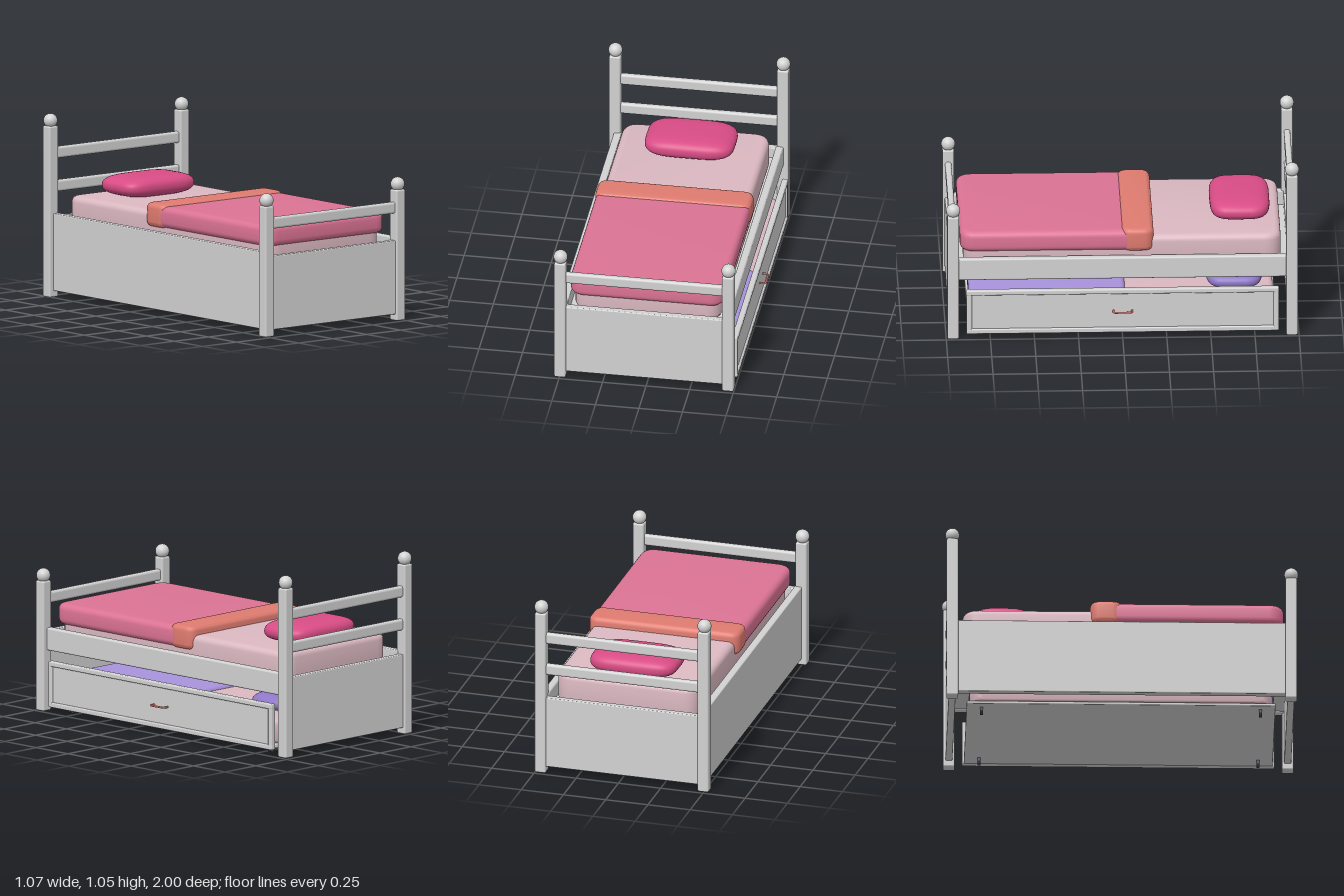
import * as THREE from 'three';
import { toCreasedNormals } from 'three/addons/utils/BufferGeometryUtils.js';
import { RoundedBoxGeometry } from 'three/addons/geometries/RoundedBoxGeometry.js';

const paint = (name, color) => {
  const m = new THREE.MeshStandardMaterial({ color });
  m.name = name;
  return m;
};

export function createModel() {
  const bed = new THREE.Group();
  bed.name = 'trundleBed';
  const wood = paint('paleGreyWood', 0xd2d2d2);
  const sheet = paint('palePink', 0xdcb9c2);
  const rose = paint('rose', 0xdc7395);
  const coral = paint('coral', 0xdf7b70);
  const magenta = paint('magenta', 0xd84c85);
  const lavender = paint('lavender', 0xa993dc);
  const violet = paint('violet', 0x8f78c8);
  const rubber = paint('darkRubber', 0x434956);

  const add = (name, geo, mat, x = 0, y = 0, z = 0) => {
    const mesh = new THREE.Mesh(geo, mat);
    mesh.name = name;
    mesh.position.set(x, y, z);
    bed.add(mesh);
    return mesh;
  };

  // Softly edged board given by its extents
  const board = (name, [x0, x1], [y0, y1], [z0, z1], r = 0.006, mat = wood) =>
    add(name, new RoundedBoxGeometry(x1 - x0, y1 - y0, z1 - z0, 3, r), mat,
      (x0 + x1) / 2, (y0 + y1) / 2, (z0 + z1) / 2);

  // Cushion: rounded rectangle in plan with a thick bevel, given by its extents
  const cushion = (name, [x0, x1], [y0, y1], [z0, z1], corner, bevel, mat) => {
    const w = (x1 - x0) / 2 - bevel, d = (z1 - z0) / 2 - bevel, r = corner;
    const s = new THREE.Shape();
    s.moveTo(-w + r, -d).lineTo(w - r, -d).quadraticCurveTo(w, -d, w, -d + r);
    s.lineTo(w, d - r).quadraticCurveTo(w, d, w - r, d);
    s.lineTo(-w + r, d).quadraticCurveTo(-w, d, -w, d - r);
    s.lineTo(-w, -d + r).quadraticCurveTo(-w, -d, -w + r, -d);
    const h = y1 - y0;
    const g = new THREE.ExtrudeGeometry(s, {
      depth: h - 2 * bevel, bevelSize: bevel, bevelThickness: bevel, bevelSegments: 5, curveSegments: 6,
    });
    g.translate(0, 0, bevel).rotateX(-Math.PI / 2);
    return add(name, toCreasedNormals(g, 0.7), mat, (x0 + x1) / 2, y0, (z0 + z1) / 2);
  };

  // Pillow: sphere pushed towards a box in plan
  const pillow = (name, w, h, d, mat, x, y, z) => {
    const g = new THREE.SphereGeometry(1, 40, 24);
    const p = g.attributes.position;
    const sq = (v, e) => Math.sign(v) * Math.abs(v) ** e;
    for (let i = 0; i < p.count; i++) {
      p.setXYZ(i, sq(p.getX(i), 0.5) * w / 2, sq(p.getY(i), 0.85) * h / 2, sq(p.getZ(i), 0.5) * d / 2);
    }
    g.computeVertexNormals();
    return add(name, g, mat, x, y, z);
  };

  const cx = -0.015, px = 0.482, pz = 0.96;

  // Corner posts with ball finials
  for (const [end, z, h] of [['foot', pz, 0.755], ['head', -pz, 0.985]]) {
    for (const [side, x] of [['Left', cx + px], ['Right', cx - px]]) {
      board(end + 'Post' + side, [x - 0.033, x + 0.033], [0.005, h], [z - 0.033, z + 0.033], 0.01);
      add(end + 'Finial' + side, new THREE.SphereGeometry(0.04, 28, 18), wood, x, h + 0.03, z);
    }
    board(end + 'Panel', [cx - 0.46, cx + 0.46], [0.042, 0.465], [z - 0.02, z + 0.02]);
  }

  // Cross rails between posts
  for (const [name, y, z] of [['footRail', 0.652, pz], ['headRailUpper', 0.828, -pz], ['headRailLower', 0.637, -pz]]) {
    board(name, [cx - 0.46, cx + 0.46], [y - 0.033, y + 0.033], [z - 0.018, z + 0.018], 0.014);
  }

  // Closed side, open side rail and mattress platform
  board('closedSidePanel', [-0.502, -0.458], [0.042, 0.485], [-0.94, 0.94]);
  board('openSideRail', [0.428, 0.472], [0.355, 0.485], [-0.94, 0.94], 0.01);
  board('platform', [-0.465, 0.435], [0.365, 0.4], [-0.945, 0.945]);

  // Main bedding
  cushion('mattress', [-0.435, 0.408], [0.4, 0.587], [-0.9, 0.9], 0.06, 0.035, sheet);
  cushion('blanket', [-0.457, 0.428], [0.505, 0.626], [-0.12, 0.92], 0.05, 0.035, rose);
  cushion('blanketFold', [-0.461, 0.432], [0.502, 0.636], [-0.178, 0.006], 0.03, 0.028, coral);
  pillow('pillow', 0.515, 0.12, 0.34, magenta, -0.015, 0.641, -0.675);

  // Trundle drawer: floor, front and raised frame
  board('drawerFloor', [-0.335, 0.48], [0.042, 0.06], [-0.875, 0.875]);
  board('drawerFront', [0.476, 0.496], [0.04, 0.3], [-0.88, 0.88], 0.004);
  board('drawerTopTrim', [0.472, 0.507], [0.274, 0.304], [-0.886, 0.886], 0.008);
  board('drawerBottomTrim', [0.472, 0.507], [0.038, 0.068], [-0.886, 0.886], 0.008);
  for (const s of [-1, 1]) {
    const z = s * 0.87;
    board('drawerSideTrim', [0.472, 0.506], [0.05, 0.29], [z - 0.015, z + 0.015], 0.008);
  }

  // Drawer pull
  const path = new THREE.CatmullRomCurve3([
    [0.49, -0.053], [0.52, -0.053], [0.53, -0.045], [0.53, 0.045], [0.52, 0.053], [0.49, 0.053],
  ].map(([x, z]) => new THREE.Vector3(x, 0.17, z)), false, 'catmullrom', 0.1);
  add('drawerHandle', new THREE.TubeGeometry(path, 40, 0.0055, 10), coral);

  // Trundle bedding
  cushion('trundleMattress', [-0.32, 0.465], [0.06, 0.2], [-0.86, 0.86], 0.05, 0.03, sheet);
  cushion('trundleBlanket', [-0.328, 0.47], [0.12, 0.225], [-0.02, 0.868], 0.04, 0.03, lavender);
  pillow('trundlePillow', 0.48, 0.1, 0.32, violet, 0.07, 0.245, -0.64);

  // Casters
  for (const x of [-0.268, 0.408]) {
    for (const z of [-0.79, 0.79]) {
      add('caster', new THREE.CylinderGeometry(0.023, 0.023, 0.016, 24).rotateX(Math.PI / 2), rubber, x, 0.025, z);
    }
  }
  return bed;
}
